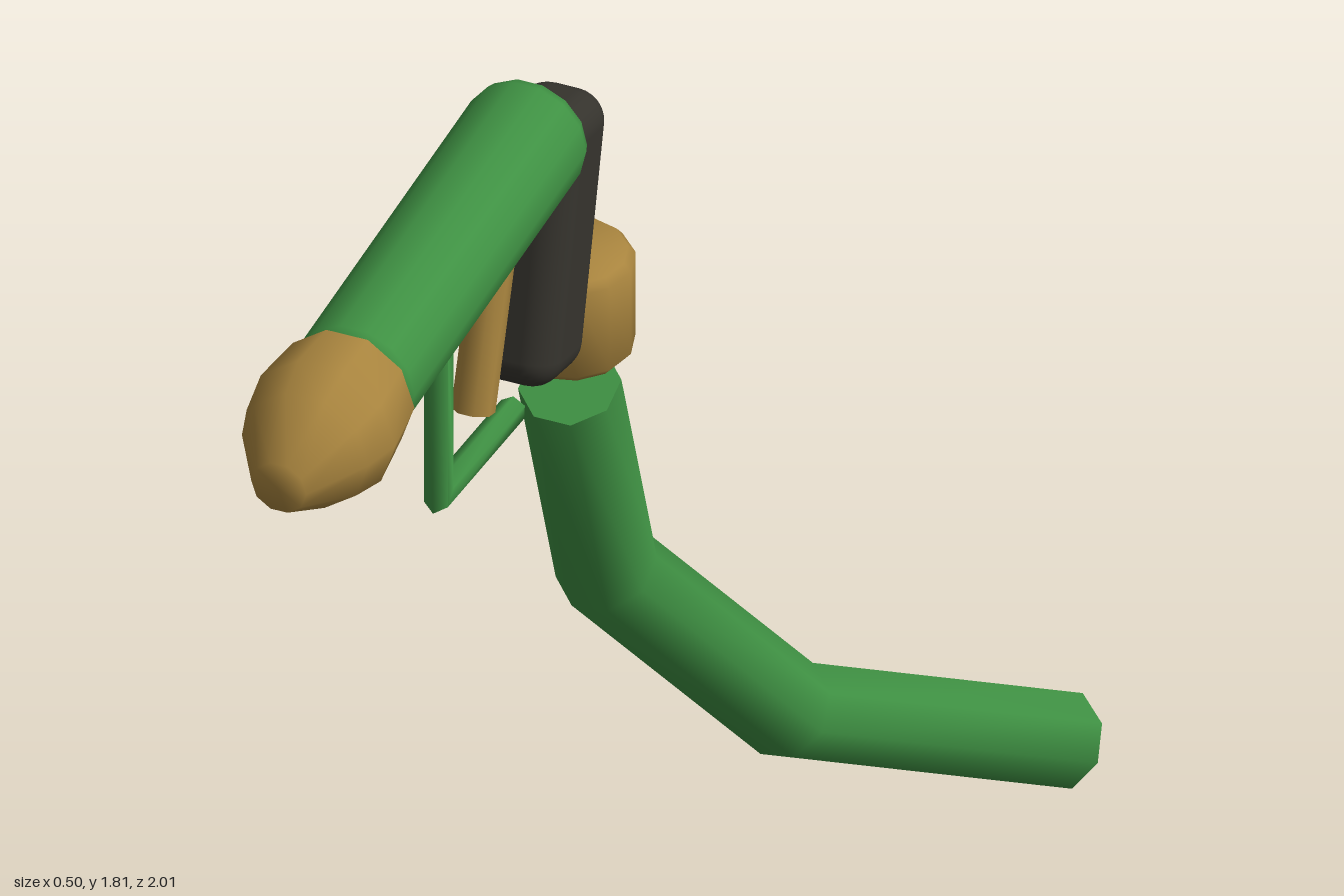
import * as THREE from 'three';
import { toCreasedNormals, mergeVertices } from 'three/addons/utils/BufferGeometryUtils.js';
import { RoundedBoxGeometry } from 'three/addons/geometries/RoundedBoxGeometry.js';

const CX = -0.14; // centre plane of the nozzle

const material = (name, color) => {
  const m = new THREE.MeshStandardMaterial({ color });
  m.name = name;
  return m;
};

// Mitred tube along a polyline, closed at both ends
function pipe(points, radius, sides) {
  const path = points.map((p) => new THREE.Vector3(...p));
  const dirs = path.slice(1).map((p, i) => p.clone().sub(path[i]).normalize());
  const u = new THREE.Vector3(1, 0, 0).addScaledVector(dirs[0], -dirs[0].x).normalize();
  const v = dirs[0].clone().cross(u);
  const pos = [];
  const index = [];
  let ring = [];
  for (let s = 0; s < sides; s++) {
    const a = ((s + 0.5) / sides) * Math.PI * 2;
    ring.push(path[0].clone().addScaledVector(u, Math.cos(a) * radius).addScaledVector(v, Math.sin(a) * radius));
  }
  path.forEach((p, i) => {
    if (i > 0) {
      // Slide the ring along the segment onto the mitre plane
      const d = dirs[i - 1];
      const n = d.clone().add(dirs[i] ?? d).normalize();
      ring = ring.map((q) => q.clone().addScaledVector(d, p.clone().sub(q).dot(n) / d.dot(n)));
    }
    ring.forEach((q) => pos.push(q.x, q.y, q.z));
  });
  const last = (path.length - 1) * sides;
  for (let s = 0; s < sides; s++) {
    const t = (s + 1) % sides;
    for (let k = 0; k < last; k += sides) {
      index.push(k + s, k + t, k + sides + s, k + t, k + sides + t, k + sides + s);
    }
    if (s > 0 && t > 0) index.push(0, t, s, last, last + s, last + t);
  }
  const g = new THREE.BufferGeometry();
  g.setAttribute('position', new THREE.Float32BufferAttribute(pos, 3));
  g.setIndex(index);
  return toCreasedNormals(g, 1.1);
}

// Turned part; profile is [radius, height] from bottom to top
function turned(profile, sides) {
  const g = new THREE.LatheGeometry(profile.map(([r, h]) => new THREE.Vector2(r, h)), sides, Math.PI / 2);
  g.deleteAttribute('uv');
  g.deleteAttribute('normal');
  return toCreasedNormals(mergeVertices(g, 1e-4), 1.1);
}

export function createModel() {
  const model = new THREE.Group();
  model.name = 'nozzleWithHose';
  const green = material('green', 0x3f9143);
  const tan = material('tan', 0xa8843e);
  const dark = material('charcoal', 0x35332d);

  const add = (name, geometry, mat, x = 0, y = 0, z = 0) => {
    const mesh = new THREE.Mesh(geometry, mat);
    mesh.name = name;
    mesh.position.set(x, y, z);
    model.add(mesh);
    return mesh;
  };

  // Barrel with softened ends
  add('barrel', turned([
    [0, 0.11], [0.07, 0.11], [0.083, 0.117], [0.088, 0.132],
    [0.088, 0.733], [0.083, 0.748], [0.07, 0.755], [0, 0.755],
  ], 14).rotateX(Math.PI / 2), green, CX, 1.71, 0);

  // Bulging nose tip
  add('noseTip', turned([
    [0, 0.758], [0.098, 0.758], [0.108, 0.85], [0.092, 0.905], [0.04, 0.997], [0, 1],
  ], 10).rotateX(Math.PI / 2), tan, CX, 1.71, 0);

  // Leaning grip
  add('grip', new RoundedBoxGeometry(0.124, 0.41, 0.148, 4, 0.045), dark, CX, 1.515, 0.082)
    .rotation.x = -0.245;

  // Collar below the grip
  add('collar', turned([
    [0, 1.26], [0.08, 1.26], [0.09, 1.272], [0.09, 1.408], [0.08, 1.42], [0, 1.42],
  ], 12), tan, CX, 0, -0.02);

  // Trigger and its guard
  add('trigger', pipe([[CX, 1.65, 0.225], [CX, 1.38, 0.316]], 0.03, 8), tan);
  add('triggerGuard', pipe([
    [CX, 1.638, 0.2], [CX, 1.588, 0.437], [CX, 1.32, 0.437], [CX, 1.288, 0.178],
  ], 0.02, 6), green);

  // Trailing hose
  add('hose', pipe([
    [CX, 1.195, -0.022], [CX, 0.805, -0.15], [-0.012, 0.386, -0.474], [0.185, 0.06, -0.963],
  ], 0.07, 8), green);

  return model;
}
